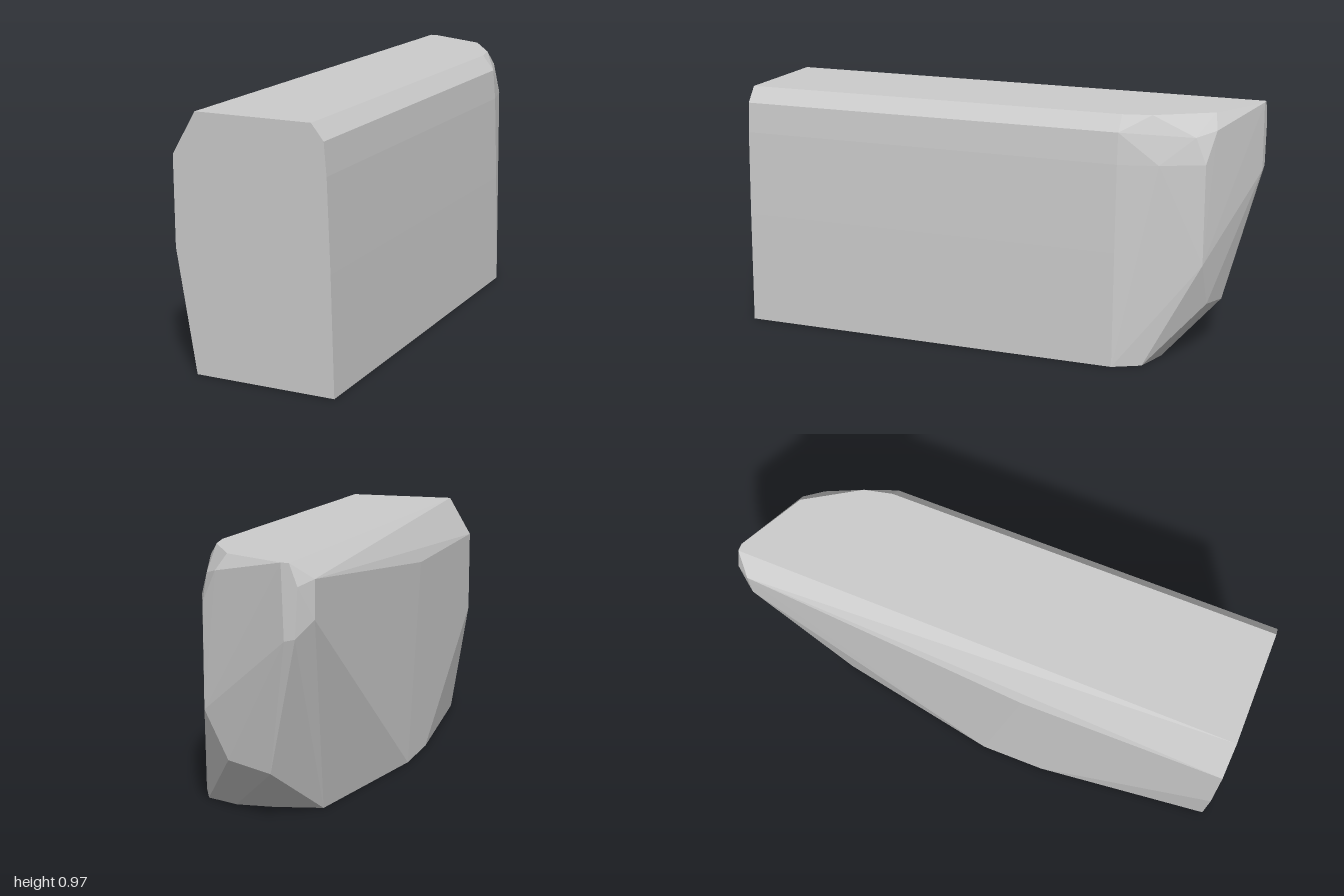
import * as THREE from 'three';
import { ConvexGeometry } from 'three/addons/geometries/ConvexGeometry.js';

export function createModel() {
  const group = new THREE.Group();
  group.name = 'bevelledBlock';
  const grey = new THREE.MeshStandardMaterial({ color: 0xcccccc });
  grey.name = 'lightGrey';

  const points = [];
  const add = (...list) => list.forEach((p) => points.push(new THREE.Vector3(...p)));

  // left side profile, straight from the front to the start of the rounded end
  const leftProfile = [[0.315, 0], [0.304, 0.45], [0.292, 0.79], [0.282, 0.91], [0.235, 0.97]];
  for (const z of [1, -0.55]) leftProfile.forEach(([x, y]) => add([x, y, z]));

  // right side: large top chamfer and cut lower front corner
  add([-0.22, 0.97, 1], [-0.315, 0.81, 1], [-0.315, 0.47, 1], [-0.24, 0, 1]);
  add([-0.315, 0.8, 0.2], [-0.315, 0, 0.3], [-0.315, 0, 0.04]);
  add([-0.27, 0.91, -0.94], [-0.27, 0.77, -0.94]);

  // bottom back edge
  add([-0.19, 0, -0.63], [-0.01, 0, -0.68], [0.13, 0, -0.697], [0.26, 0, -0.655]);
  // lower back corners
  add([0.09, 0.22, -0.86], [-0.08, 0.19, -0.88]);
  // narrow back strip
  add([-0.17, 0.97, -1], [-0.2, 0.97, -1], [-0.23, 0.89, -1], [-0.22, 0.71, -1], [-0.18, 0.7, -1]);
  // left back bevels
  add([0.18, 0.79, -0.86], [0.18, 0.4, -0.86], [0.12, 0.91, -0.885], [0.08, 0.97, -0.87]);
  add([0.21, 0.97, -0.66], [0.18, 0.89, -0.82], [0.253, 0.79, -0.7]);

  const block = new THREE.Mesh(new ConvexGeometry(points), grey);
  block.name = 'block';
  group.add(block);
  return group;
}
